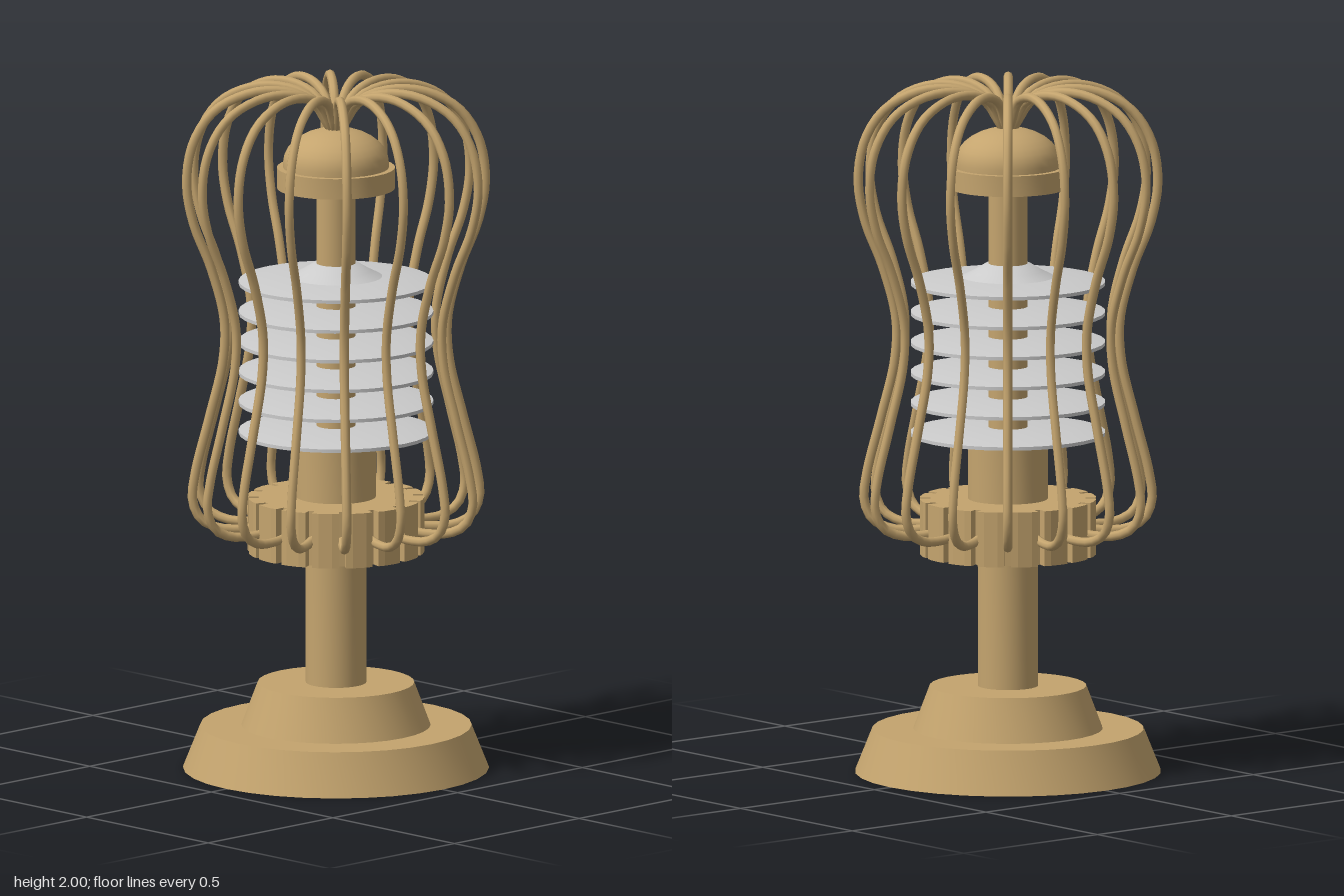
import * as THREE from 'three';
import { toCreasedNormals } from 'three/addons/utils/BufferGeometryUtils.js';

const brass = new THREE.MeshStandardMaterial({ color: 0xc4a46e });
const grey = new THREE.MeshStandardMaterial({ color: 0xcccccc });
const WIRES = 16;
const OFFSET = -5 * Math.PI / 180;

export function createModel() {
  const model = new THREE.Group();
  model.name = 'cagedLamp';

  function add(name, geometry, material = brass, parent = model) {
    const mesh = new THREE.Mesh(geometry, material);
    mesh.name = name;
    parent.add(mesh);
    return mesh;
  }

  // Turned solid from [radius, height] pairs, bottom to top
  function turned(points, crease = 0.6) {
    const profile = points.map(([r, y]) => new THREE.Vector2(r, y));
    return toCreasedNormals(new THREE.LatheGeometry(profile, 32), crease);
  }

  // Stepped foot and stem
  add('base', turned([[0, 0], [0.44, 0], [0.39, 0.125], [0.272, 0.125], [0.225, 0.25], [0, 0.25]]));
  add('stem', turned([[0, 0.24], [0.087, 0.24], [0.087, 0.64], [0, 0.64]]));

  // Notched collar, one notch per cage wire
  const collarShape = new THREE.Shape();
  const step = Math.PI * 2 / WIRES;
  for (let i = 0; i < WIRES; i++) {
    const a = -OFFSET + i * step;
    const corners = [[0.222, -0.1], [0.222, 0.1], [0.252, 0.1], [0.254, 0.3], [0.254, 0.7], [0.252, 0.9]];
    corners.forEach(([r, t], j) => {
      const x = r * Math.cos(a + t * step), y = r * Math.sin(a + t * step);
      if (i === 0 && j === 0) collarShape.moveTo(x, y);
      else collarShape.lineTo(x, y);
    });
  }
  collarShape.closePath();
  const collar = new THREE.ExtrudeGeometry(collarShape, { depth: 0.16, bevelEnabled: false });
  collar.rotateX(-Math.PI / 2).translate(0, 0.635, 0);
  add('notchedCollar', collar);

  // Core column and rod
  add('column', turned([[0, 0.78], [0.115, 0.78], [0.115, 0.965], [0, 0.965]]));
  add('rod', turned([[0, 0.95], [0.056, 0.95], [0.056, 1.72], [0, 1.72]]));

  // Stack of thin tapered discs
  const discGeometry = turned([[0, -0.018], [0.2, -0.018], [0.28, -0.005], [0.28, 0.005], [0.2, 0.018], [0, 0.018]], 0.4);
  const discs = new THREE.Group();
  discs.name = 'discStack';
  model.add(discs);
  for (let i = 0; i < 6; i++) add('disc', discGeometry, grey, discs).position.y = 0.985 + i * 0.0875;
  add('discCone', turned([[0.14, 1.437], [0.1, 1.457], [0.065, 1.478], [0, 1.485]]), grey, discs);

  // Domed cap with a rim
  const cap = [[0, 1.7], [0.17, 1.7], [0.17, 1.76], [0.152, 1.76], [0.152, 1.775]];
  for (let i = 1; i <= 8; i++) {
    const t = i / 8 * Math.PI / 2;
    cap.push([Math.max(0, 0.152 * Math.cos(t)), 1.775 + 0.1 * Math.sin(t)]);
  }
  add('cap', turned(cap));
  add('finial', turned([[0.028, 1.86], [0.028, 1.9], [0, 1.9]]));

  // Cage of bent wires
  const path = new THREE.CatmullRomCurve3([
    [0.21, 0.71], [0.27, 0.703], [0.34, 0.708], [0.39, 0.735], [0.413, 0.79], [0.405, 0.87],
    [0.365, 1.03], [0.325, 1.2], [0.322, 1.32], [0.36, 1.47], [0.41, 1.6], [0.43, 1.72],
    [0.41, 1.84], [0.35, 1.93], [0.25, 1.98], [0.15, 1.985], [0.07, 1.955], [0.02, 1.88],
  ].map(([r, y]) => new THREE.Vector3(r, y, 0)));
  const wireGeometry = new THREE.TubeGeometry(path, 64, 0.0135, 8);
  const cage = new THREE.Group();
  cage.name = 'cage';
  model.add(cage);
  for (let i = 0; i < WIRES; i++) add('cageWire', wireGeometry, brass, cage).rotation.y = -(OFFSET + i * step);

  return model;
}
